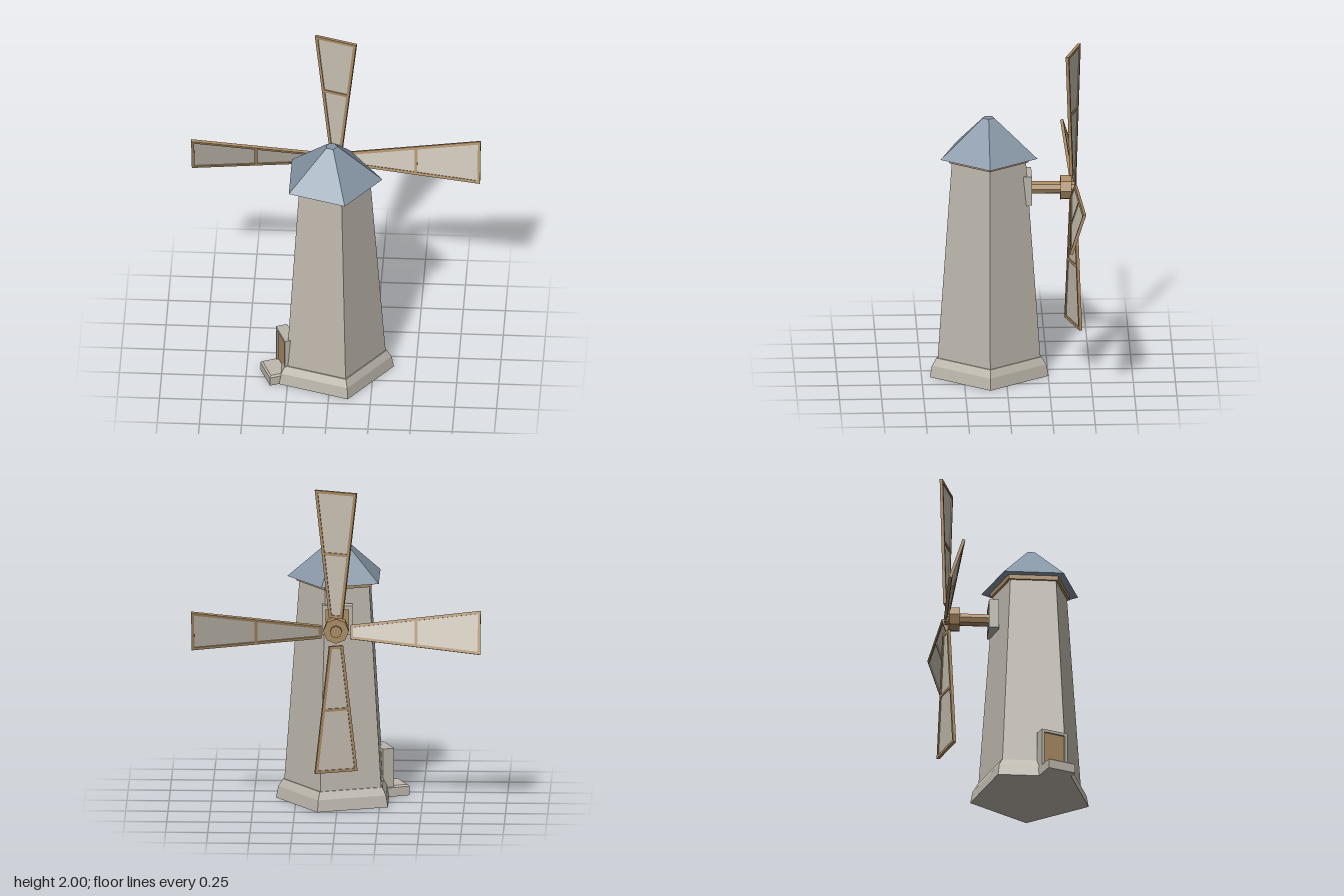
import * as THREE from 'three';

const mat = (name, color) => {
  const m = new THREE.MeshStandardMaterial({ color });
  m.name = name;
  return m;
};

export function createModel() {
  const stone = mat('stone', 0xbdb7ac);
  const trim = mat('stone trim', 0xb9b5aa);
  const wood = mat('wood', 0xa98a62);
  const slate = mat('slate roof', 0x8796a6);
  const canvas = mat('sail canvas', 0xc4bdb0);

  const TOWER_Z = 0.1, HUB_Y = 1.143, SAIL_Z = -0.402;
  const model = new THREE.Group();
  model.name = 'windmill';

  // Faceted mesh helper
  const add = (parent, name, geometry, material, x = 0, y = 0, z = 0) => {
    const g = geometry.index ? geometry.toNonIndexed() : geometry;
    g.computeVertexNormals();
    const mesh = new THREE.Mesh(g, material);
    mesh.name = name;
    mesh.position.set(x, y, z);
    parent.add(mesh);
    return mesh;
  };

  // Five-sided tower sections, one corner pointing to +x
  const tower = new THREE.Group();
  tower.name = 'tower';
  tower.position.z = TOWER_Z;
  model.add(tower);
  const section = (name, rBottom, rTop, y0, y1, material) =>
    add(tower, name,
      new THREE.CylinderGeometry(rTop, rBottom, y1 - y0, 5, 1, false, Math.PI / 2),
      material, 0, (y0 + y1) / 2, 0);
  section('plinth', 0.37, 0.356, 0, 0.07, stone);
  section('plinthSlope', 0.356, 0.328, 0.07, 0.115, stone);
  section('towerWall', 0.32, 0.231, 0.115, 1.33, stone);
  section('collar', 0.248, 0.248, 1.328, 1.356, wood);
  section('roof', 0.302, 0.036, 1.355, 1.585, slate);

  // Stone surround with a wooden panel set back inside it, facing +z
  const framedOpening = (name, w, h, depth, border, setback) => {
    const group = new THREE.Group();
    group.name = name;
    const rect = (shape, a, b) => {
      shape.moveTo(-a, -b);
      shape.lineTo(a, -b);
      shape.lineTo(a, b);
      shape.lineTo(-a, b);
      shape.closePath();
      return shape;
    };
    const outline = rect(new THREE.Shape(), w / 2, h / 2);
    outline.holes.push(rect(new THREE.Path(), w / 2 - border, h / 2 - border));
    add(group, name + 'Frame',
      new THREE.ExtrudeGeometry(outline, { depth, bevelEnabled: false }), trim, 0, 0, -depth);
    const panelDepth = depth - setback;
    add(group, name + 'Panel',
      new THREE.BoxGeometry(w - 2 * border, h - 2 * border, panelDepth), wood,
      0, 0, -setback - panelDepth / 2);
    return group;
  };

  // Door and step, turned towards the left-front corner of the wall
  const entrance = new THREE.Group();
  entrance.name = 'entrance';
  entrance.position.z = TOWER_Z;
  entrance.rotation.y = Math.atan2(-0.927, 0.375);
  model.add(entrance);
  const door = framedOpening('door', 0.168, 0.295, 0.07, 0.017, 0.012);
  door.position.set(0, 0.1475, 0.32);
  entrance.add(door);
  add(entrance, 'step', new THREE.BoxGeometry(0.175, 0.055, 0.166), stone, 0, 0.0275, 0.333);
  const stepTop = new THREE.BoxGeometry(0.175, 0.01, 0.166);
  const p = stepTop.attributes.position;
  for (let i = 0; i < p.count; i++)
    if (p.getY(i) > 0) p.setXYZ(i, p.getX(i) * 0.88, p.getY(i), p.getZ(i) * 0.88);
  add(entrance, 'stepTop', stepTop, stone, 0, 0.06, 0.333);

  // Shaft opening in the rear wall
  const opening = framedOpening('shaftOpening', 0.18, 0.18, 0.06, 0.024, 0.014);
  opening.position.set(0, 1.15, -0.155);
  opening.rotation.y = Math.PI;
  model.add(opening);

  // Shaft, hub and nose lie along z
  const axle = (name, r, z0, z1) => {
    const g = new THREE.CylinderGeometry(r, r, Math.abs(z1 - z0), 8);
    g.rotateX(Math.PI / 2);
    add(model, name, g, wood, 0, HUB_Y, (z0 + z1) / 2);
  };
  axle('shaft', 0.039, -0.1, -0.33);
  axle('hub', 0.076, -0.325, -0.39);
  axle('hubNose', 0.036, -0.39, -0.412);

  // Four pitched sails: a tapering wooden frame with a canvas sheet
  const X0 = 0.085, X1 = 0.857, BAR = 0.017, MID = 0.474;
  const half = x => 0.042 + (x - X0) / (X1 - X0) * 0.089;
  const trapezoid = (shape, a, b, inset) => {
    shape.moveTo(a, -half(a) + inset);
    shape.lineTo(b, -half(b) + inset);
    shape.lineTo(b, half(b) - inset);
    shape.lineTo(a, half(a) - inset);
    shape.closePath();
    return shape;
  };
  const frameShape = trapezoid(new THREE.Shape(), X0, X1, 0);
  frameShape.holes.push(
    trapezoid(new THREE.Path(), X0 + BAR, MID - BAR / 2, BAR),
    trapezoid(new THREE.Path(), MID + BAR / 2, X1 - BAR, BAR));
  const sheetShape = trapezoid(new THREE.Shape(), X0 + 0.005, X1 - 0.005, 0.005);
  const extrude = (shape, depth) =>
    new THREE.ExtrudeGeometry(shape, { depth, bevelEnabled: false }).translate(0, 0, -depth / 2);

  for (let k = 0; k < 4; k++) {
    const arm = new THREE.Group();
    arm.name = 'sail' + (k + 1);
    arm.position.set(0, HUB_Y, SAIL_Z);
    arm.rotation.z = k * Math.PI / 2;
    const blade = new THREE.Group();
    blade.name = 'sailBlade';
    blade.rotation.x = -Math.PI / 10;
    add(blade, 'sailFrame', extrude(frameShape, 0.018), wood);
    add(blade, 'sailCanvas', extrude(sheetShape, 0.006), canvas);
    arm.add(blade);
    model.add(arm);
  }

  return model;
}
